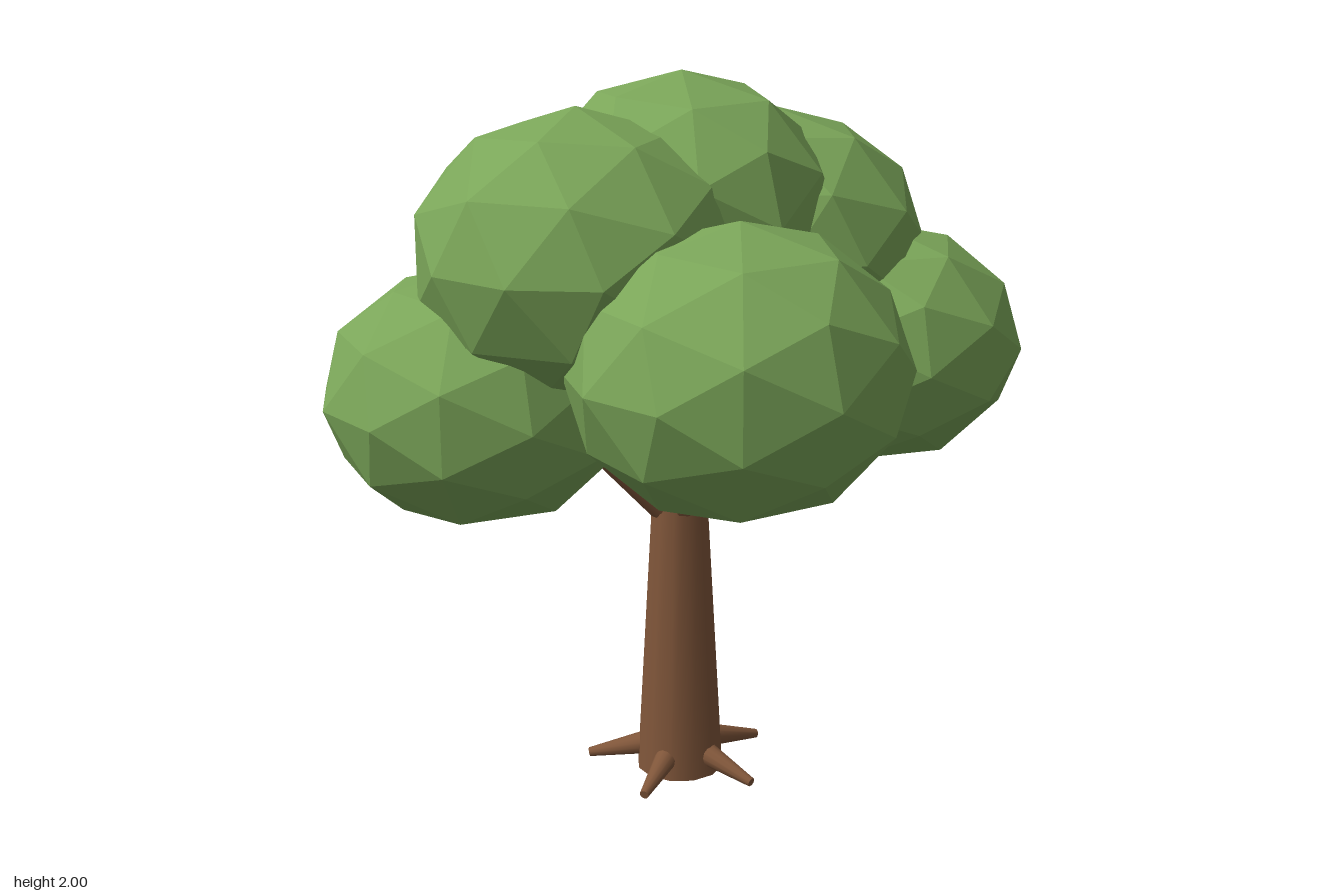
import * as THREE from 'three';

const UP = new THREE.Vector3(0, 1, 0);

export function createModel() {
  const tree = new THREE.Group();
  tree.name = 'tree';
  const bark = new THREE.MeshStandardMaterial({ color: 0x80563a });
  bark.name = 'bark brown';
  const leaf = new THREE.MeshStandardMaterial({ color: 0x7ba659, flatShading: true });
  leaf.name = 'leaf green';

  // Tapered round limb running from one point to another
  function limb(name, from, to, r0, r1) {
    const a = new THREE.Vector3(...from), b = new THREE.Vector3(...to);
    const dir = b.clone().sub(a);
    const mesh = new THREE.Mesh(new THREE.CylinderGeometry(r1, r0, dir.length(), 12), bark);
    mesh.position.copy(a).add(b).multiplyScalar(0.5);
    mesh.quaternion.setFromUnitVectors(UP, dir.normalize());
    mesh.name = name;
    tree.add(mesh);
  }

  const cx = -0.015;
  limb('trunk', [cx, 0, 0], [cx, 0.98, 0], 0.125, 0.07);

  // Five roots spread evenly around the foot
  for (let i = 0; i < 5; i++) {
    const t = THREE.MathUtils.degToRad(58 + 72 * i);
    const c = Math.cos(t), s = Math.sin(t);
    limb('root' + (i + 1), [cx + 0.08 * c, 0.065, 0.08 * s], [cx + 0.265 * c, 0.022, 0.265 * s], 0.036, 0.013);
  }

  // Branches reaching into the crown
  const branches = [
    ['branchLeft', 0.76, [0.46, 1.25, -0.01]],
    ['branchRight', 0.76, [-0.46, 1.22, 0]],
    ['branchFront', 0.76, [-0.02, 1.3, 0.36]],
    ['branchBack', 0.76, [-0.06, 1.32, -0.36]],
    ['branchUpperRight', 0.84, [-0.27, 1.5, 0.09]],
    ['branchUpperLeft', 0.84, [0.24, 1.48, -0.11]],
    ['branchTop', 0.9, [0, 1.55, -0.02]],
  ];
  for (const [name, y, to] of branches) limb(name, [cx, y, 0], to, 0.052, 0.036);

  // Leaf clumps: name, centre, radii, turn about the vertical
  const clumps = [
    ['crownLeft', [0.56, 1.22, -0.02], [0.425, 0.34, 0.405], 0],
    ['crownRight', [-0.57, 1.17, -0.01], [0.425, 0.35, 0.42], 0.1],
    ['crownFront', [-0.02, 1.32, 0.5], [0.445, 0.38, 0.43], 0.25],
    ['crownBack', [-0.1, 1.37, -0.5], [0.43, 0.37, 0.43], 0.5],
    ['crownUpperRight', [-0.33, 1.56, 0.12], [0.435, 0.38, 0.435], 0.9],
    ['crownUpperLeft', [0.29, 1.51, -0.14], [0.435, 0.37, 0.44], 1.3],
    ['crownTop', [0, 1.64, -0.03], [0.41, 0.36, 0.42], 0.35],
  ];
  for (const [name, pos, radii, turn] of clumps) {
    const geo = new THREE.IcosahedronGeometry(1, 1).rotateY(turn).scale(...radii);
    const mesh = new THREE.Mesh(geo, leaf);
    mesh.position.set(...pos);
    mesh.name = name;
    tree.add(mesh);
  }
  return tree;
}
